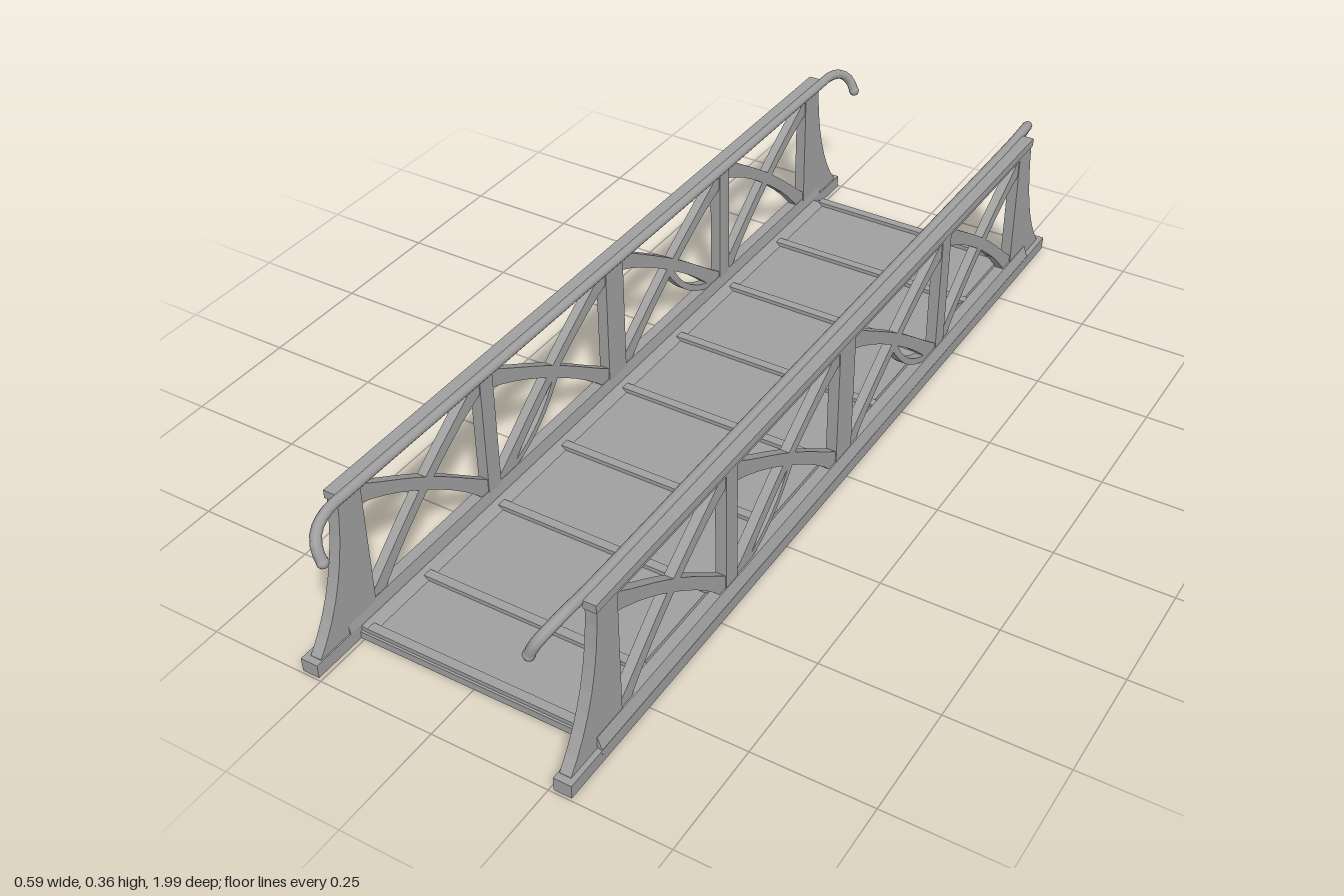
import * as THREE from 'three';

export function createModel() {
  const model = new THREE.Group();
  model.name = 'footbridge';
  const grey = new THREE.MeshStandardMaterial({ color: 0xa0a0a0 });
  grey.name = 'grey metal';

  const add = (parent, geometry, name) => {
    const mesh = new THREE.Mesh(geometry, grey);
    mesh.name = name;
    parent.add(mesh);
    return mesh;
  };
  const box = (parent, name, x0, x1, y0, y1, z0, z1) => {
    const mesh = add(parent, new THREE.BoxGeometry(x1 - x0, y1 - y0, z1 - z0), name);
    mesh.position.set((x0 + x1) / 2, (y0 + y1) / 2, (z0 + z1) / 2);
    return mesh;
  };
  // Extrudes a shape drawn in (z, y) so that it spans x0 to x1
  const sidePlate = (shape, x0, x1) => {
    const g = new THREE.ExtrudeGeometry(shape, { depth: x1 - x0, bevelEnabled: false, curveSegments: 8 });
    return g.rotateY(-Math.PI / 2).translate(x1, 0, 0);
  };

  // Curved bar from a to b, bowed sideways and flared at both ends
  const brace = (a, b, bow, width, flare) => {
    const start = new THREE.Vector2(...a), end = new THREE.Vector2(...b);
    const dir = end.clone().sub(start).normalize();
    const normal = new THREE.Vector2(-dir.y, dir.x);
    const upper = [], lower = [];
    for (let i = 0; i <= 10; i++) {
      const t = i / 10;
      const p = start.clone().lerp(end, t).addScaledVector(normal, bow * 4 * t * (1 - t));
      const half = width / 2 + flare * Math.pow(Math.abs(2 * t - 1), 4);
      upper.push(p.clone().addScaledVector(normal, half));
      lower.push(p.clone().addScaledVector(normal, -half));
    }
    return new THREE.Shape([...lower, ...upper.reverse()]);
  };

  // Truss outline with concave end gussets and four openings
  const frame = new THREE.Shape();
  frame.moveTo(-0.98, 0.01);
  frame.lineTo(0.98, 0.01);
  frame.lineTo(0.98, 0.035);
  frame.quadraticCurveTo(0.885, 0.15, 0.88, 0.355);
  frame.lineTo(-0.88, 0.355);
  frame.quadraticCurveTo(-0.885, 0.15, -0.98, 0.035);
  const openings = [[-0.82, -0.465], [-0.425, -0.032], [0.032, 0.425], [0.465, 0.82]];
  for (const [a, b] of openings) {
    const hole = new THREE.Path();
    hole.moveTo(a, 0.05);
    hole.lineTo(a, 0.33);
    hole.lineTo(b, 0.33);
    hole.lineTo(b, 0.05);
    frame.holes.push(hole);
  }

  // Bottom chord section, sloping in to the wall
  const chord = new THREE.Shape([[0.258, 0.005], [0.295, 0.005], [0.296, 0.032], [0.286, 0.06], [0.262, 0.06],
    [0.258, 0.035]].map(p => new THREE.Vector2(...p)));
  const foot = new THREE.Shape([[0.258, 0.004], [0.295, 0.004], [0.296, 0.034], [0.258, 0.034]]
    .map(p => new THREE.Vector2(...p)));

  for (const side of [1, -1]) {
    const wall = new THREE.Group();
    wall.name = side > 0 ? 'leftTruss' : 'rightTruss';
    // A half turn keeps the faces the right way out
    wall.rotation.y = side > 0 ? 0 : Math.PI;
    model.add(wall);

    add(wall, sidePlate(frame, 0.261, 0.285), 'trussFrame');
    box(wall, 'topChord', 0.26, 0.287, 0.338, 0.356, -0.885, 0.885);
    add(wall, new THREE.ExtrudeGeometry(chord, { depth: 1.8, bevelEnabled: false }).translate(0, 0, -0.9), 'bottomChord');
    add(wall, new THREE.ExtrudeGeometry(foot, { depth: 1.99, bevelEnabled: false }).translate(0, 0, -0.995), 'footRail');

    // Crossed braces, mirrored about the middle post
    for (const m of [1, -1]) {
      const bars = [
        [[0.83, 0.315], [0.46, 0.06], 0.018, 0.026, 0.008],
        [[0.82, 0.05], [0.46, 0.325], 0.018, 0.026, 0.008],
        [[0.43, 0.315], [0.03, 0.06], 0.015, 0.026, 0.008],
        [[0.42, 0.05], [0.03, 0.325], 0.015, 0.026, 0.008],
        [[0.22, 0.19], [0.41, 0.055], 0.026, 0.014, 0.004],
      ];
      bars.forEach(([a, b, bow, width, flare], i) => {
        const shape = brace([a[0] * m, a[1]], [b[0] * m, b[1]], (i === 4 ? -bow : bow) * -m * (i === 4 ? -1 : 1), width, flare);
        add(wall, sidePlate(shape, 0.263, 0.283), i === 4 ? 'splitBrace' : 'diagonalBrace');
      });
    }

    // Handrail with ends bent inward and down
    const half = [[0.251, 0.352, 0.86], [0.249, 0.352, 0.92], [0.241, 0.34, 0.96], [0.228, 0.318, 0.979], [0.217, 0.293, 0.981]];
    const points = [
      ...half.slice().reverse().map(([x, y, z]) => new THREE.Vector3(x, y, -z)),
      new THREE.Vector3(0.251, 0.352, -0.4), new THREE.Vector3(0.251, 0.352, 0.4),
      ...half.map(p => new THREE.Vector3(...p)),
    ];
    const path = new THREE.CatmullRomCurve3(points);
    add(wall, new THREE.TubeGeometry(path, 120, 0.011, 8), 'handrail');
    for (const end of [points[0], points[points.length - 1]]) {
      add(wall, new THREE.SphereGeometry(0.012, 10, 8), 'handrailTip').position.copy(end);
    }
    // Short brackets tying the handrail to the wall
    for (const z of [-0.86, -0.44, 0, 0.44, 0.86]) box(wall, 'railBracket', 0.247, 0.265, 0.342, 0.353, z - 0.015, z + 0.015);

    // Deck curb, sloping down to the floor
    const curb = new THREE.Shape([[0.23, 0.016], [0.262, 0.016], [0.262, 0.031], [0.246, 0.029]]
      .map(p => new THREE.Vector2(...p)));
    add(wall, new THREE.ExtrudeGeometry(curb, { depth: 1.74, bevelEnabled: false }).translate(0, 0, -0.87), 'deckCurb');
  }

  // Deck floor and its raised cross ribs
  box(model, 'deckFloor', -0.262, 0.262, 0.004, 0.02, -0.89, 0.875);
  for (const z of [-0.88, -0.67, -0.45, -0.22, 0, 0.23, 0.45, 0.69, 0.86]) {
    box(model, 'deckRib', -0.245, 0.245, 0.015, 0.029, z - 0.01, z + 0.01);
  }
  return model;
}
